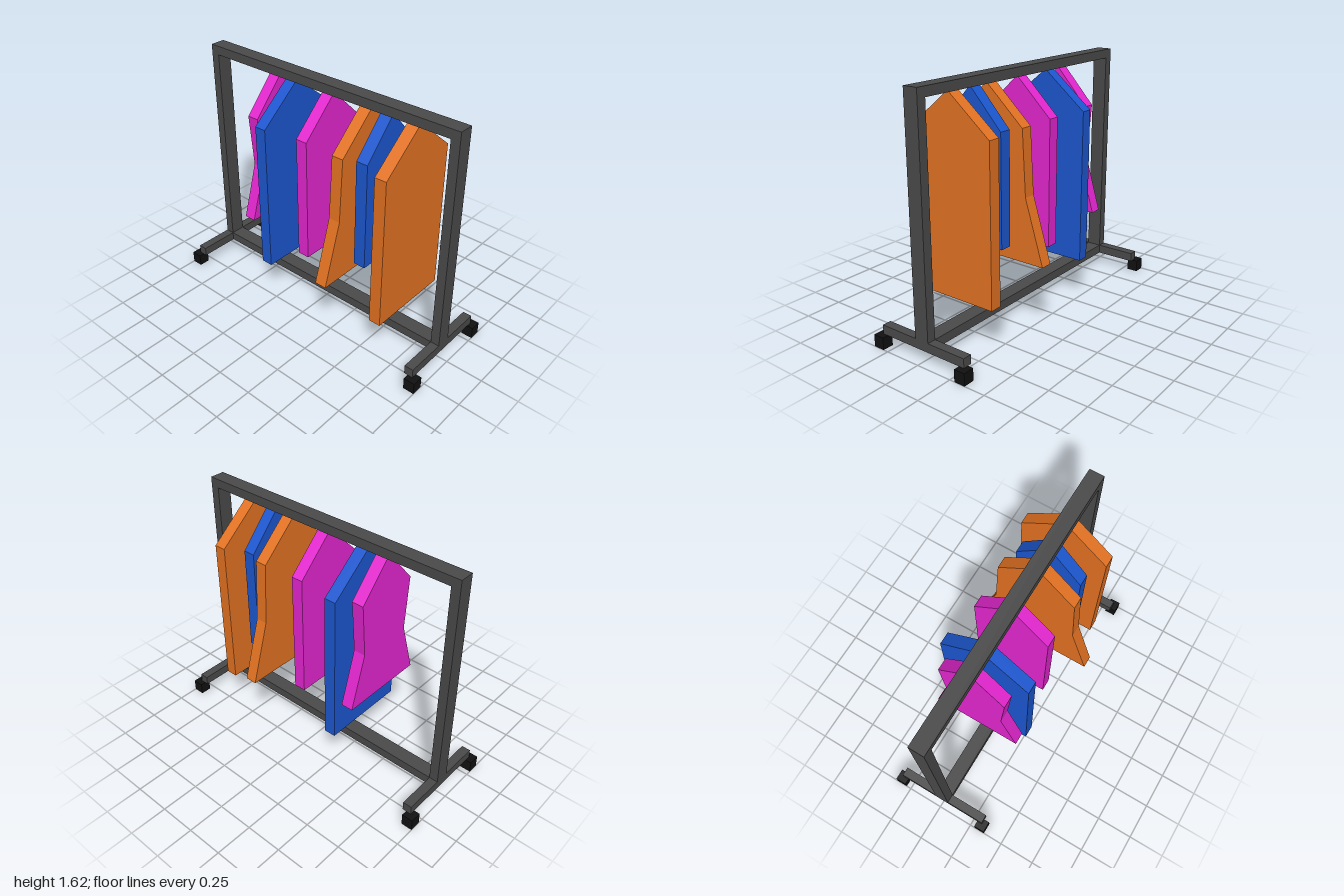
import * as THREE from 'three';

const mat = (color) => new THREE.MeshStandardMaterial({ color, flatShading: true });
const frameMat = mat(0x4a4a4a);
const casterMat = mat(0x111111);
const magenta = mat(0xe426d0);
const blue = mat(0x1c57d0);
const orange = mat(0xe37222);

const SHOULDER_Y = 1.315;
const PEAK_Y = 1.556;

function box(name, material, size, position) {
  const mesh = new THREE.Mesh(new THREE.BoxGeometry(...size), material);
  mesh.name = name;
  mesh.position.set(...position);
  return mesh;
}

// Flat garment: sloped shoulders, waist halfway down, straight hem
function garment(name, material, x, hemY, shoulder, waist, hem) {
  const waistY = (hemY + SHOULDER_Y) / 2;
  const side = [[shoulder, SHOULDER_Y], [waist, waistY], [hem, hemY]];
  const outline = [[0, PEAK_Y], ...side, ...side.map(([z, y]) => [-z, y]).reverse()];
  const shape = new THREE.Shape(outline.map(([z, y]) => new THREE.Vector2(z, y)));
  const thickness = 0.08;
  const geo = new THREE.ExtrudeGeometry(shape, { depth: thickness, bevelEnabled: false });
  geo.translate(0, 0, -thickness / 2).rotateY(Math.PI / 2);
  const mesh = new THREE.Mesh(geo, material);
  mesh.name = name;
  mesh.position.x = x;
  return mesh;
}

export function createModel() {
  const model = new THREE.Group();
  model.name = 'clothesRack';

  // Horizontal bars
  model.add(
    box('topBar', frameMat, [1.92, 0.06, 0.1], [0, 1.585, 0]),
    box('bottomBar', frameMat, [1.8, 0.06, 0.1], [0, 0.11, 0])
  );

  // Posts, feet and casters at both ends
  for (const [side, s] of [['left', 1], ['right', -1]]) {
    model.add(
      box(side + 'Post', frameMat, [0.06, 1.475, 0.1], [s * 0.93, 0.8175, 0]),
      box(side + 'Foot', frameMat, [0.06, 0.06, 0.645], [s * 0.93, 0.11, 0])
    );
    for (const [end, e] of [['Front', 1], ['Back', -1]]) {
      model.add(box(side + end + 'Caster', casterMat, [0.075, 0.08, 0.075], [s * 0.9625, 0.04, e * 0.3225]));
    }
  }

  // Hanging garments: x, hem height, half widths at shoulder, waist and hem
  model.add(
    garment('shortDress', magenta, -0.42, 0.605, 0.22, 0.19, 0.297),
    garment('longBlueCoat', blue, -0.28, 0.305, 0.295, 0.295, 0.295),
    garment('straightDress', magenta, 0.018, 0.49, 0.25, 0.25, 0.25),
    garment('flaredDress', orange, 0.307, 0.49, 0.262, 0.285, 0.412),
    garment('blueShirt', blue, 0.453, 0.605, 0.222, 0.222, 0.222),
    garment('longOrangeCoat', orange, 0.64, 0.305, 0.295, 0.295, 0.295)
  );

  return model;
}
